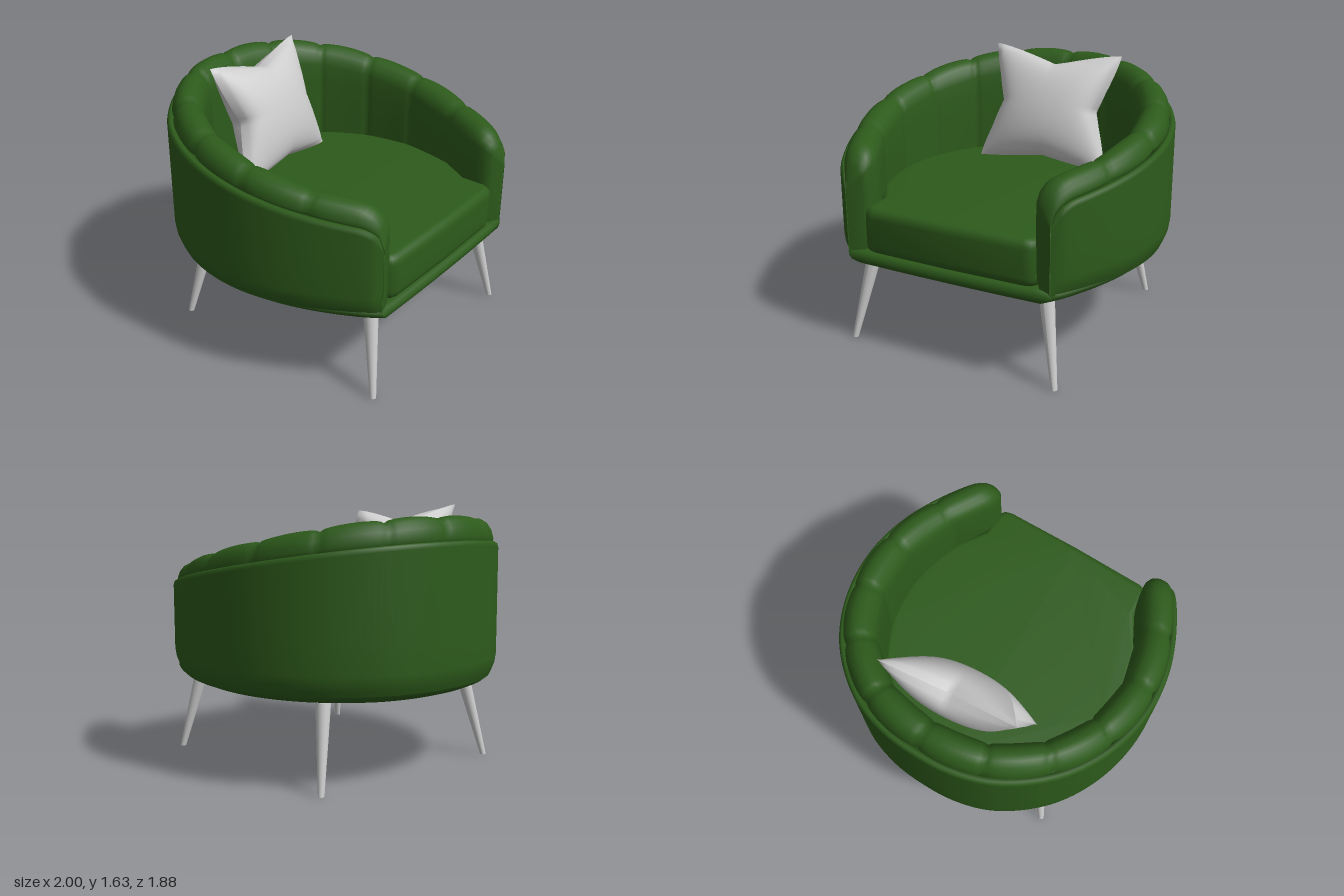
import * as THREE from 'three';
import { toCreasedNormals } from 'three/addons/utils/BufferGeometryUtils.js';

const V = (x, y, z) => new THREE.Vector3(x, y, z);
const CHANNELS = 12;

// Horseshoe plan of the shell, right front -> back -> left front
const half = [[0.7, 0.925], [0.75, 0.86], [0.81, 0.76], [0.9, 0.57], [0.97, 0.35], [1, 0.1], [0.975, -0.15],
  [0.9, -0.38], [0.78, -0.58], [0.62, -0.74], [0.43, -0.86], [0.21, -0.925]];
const plan = new THREE.CatmullRomCurve3([
  ...half.map(([x, z]) => V(-x, 0, z)), V(0, 0, -0.94), ...half.slice().reverse().map(([x, z]) => V(x, 0, z)),
]);
const LENGTH = plan.getLength();

// Surface through rows of points
function loft(rows) {
  const n = rows[0].length, index = [];
  for (let i = 0; i < rows.length - 1; i++) {
    for (let j = 0; j < n - 1; j++) {
      const a = i * n + j, b = a + n;
      index.push(a, a + 1, b, a + 1, b + 1, b);
    }
  }
  const g = new THREE.BufferGeometry().setFromPoints(rows.flat());
  g.setIndex(index);
  g.computeVertexNormals();
  return g;
}

// Place on the plan: point, inward direction, distance to the arm end, rim height
function station(u) {
  const p = plan.getPointAt(u), t = plan.getTangentAt(u);
  const d = Math.min(u, 1 - u) * LENGTH;
  const inward = V(-t.z, 0, t.x);
  inward.z *= Math.min(1, d / 0.5);
  inward.normalize();
  const e = Math.max(0, 1 - d / 0.15);
  const rim = 1.13 + (0.85 - p.z) * 0.17 - 0.12 * (1 - Math.sqrt(1 - e * e));
  return { d, rim, p, at: (n, y) => p.clone().addScaledVector(inward, n).setY(y) };
}

// Sweep a section function along the plan
function sweep(count, section) {
  const rows = [];
  for (let i = 0; i <= count; i++) rows.push(section(station(i / count), i / count));
  return loft(rows);
}

// Thin outer wall with a rounded rim, closed at the arm ends
function shellGeometry() {
  return sweep(144, ({ d, rim, at }) => {
    const k = Math.min(1, d / 0.03);
    return [[0.035, 0.58], [0.022, 0.61], [0.007, 0.65], [0, 0.7], [0, 0.85], [0, rim - 0.03], [0.006, rim - 0.008],
      [0.02, rim], [0.04, rim - 0.004], [0.05, rim - 0.03], [0.05, 0.6]]
      .map(([n, y]) => at(0.025 + (n - 0.025) * k, y));
  });
}

// Channelled padding that rolls over the rim and down to the seat
function paddingGeometry() {
  const roll = [[0.04, -0.05], [0.03, 0.15], [0.045, 0.55], [0.07, 0.83], [0.105, 0.98], [0.14, 1], [0.175, 0.92],
    [0.205, 0.72], [0.228, 0.42], [0.24, 0.05]];
  return sweep(CHANNELS * 14, ({ d, rim, p, at }, u) => {
    const e = Math.max(0, 1 - d / 0.2), k = Math.sqrt(1 - e * e);
    const c = (u * CHANNELS) % 1;
    const puff = d < LENGTH / CHANNELS / 2 ? 1 : Math.pow(Math.abs(Math.sin(Math.PI * c)), 0.4);
    const shrink = 1 - 0.17 * (1 - puff);
    const height = 0.12 * (1 - 0.2 * p.z) * k * shrink;
    const place = (n, y) => at(0.03 + (0.13 + (n - 0.13) * shrink - 0.03) * k, y);
    return [
      ...roll.map(([n, h]) => place(n, rim + h * height)),
      place(0.245, rim - 0.1), place(0.245, rim - 0.25), place(0.243, 0.75), place(0.235, 0.65), place(0.2, 0.59),
    ];
  });
}

// Shallow bowl under the seat, with a lip along the straight front
function baseGeometry() {
  const outline = plan.getSpacedPoints(96);
  for (let i = 1; i <= 12; i++) {
    const x = 0.7 - 1.4 * i / 12;
    outline.push(V(x, 0, 0.925 + 0.01 * (1 - (x / 0.7) ** 2)));
  }
  // height, scale, scale of the front half in z
  const rings = [[0.61, 0, 0], [0.61, 0.94, 0.97], [0.605, 0.965, 0.995], [0.58, 0.96, 1.008], [0.555, 0.93, 1.008],
    [0.53, 0.87, 0.985], [0.51, 0.76, 0.9], [0.49, 0.5, 0.6], [0.475, 0.22, 0.25], [0.47, 0, 0]];
  return loft(rings.map(([y, s, f]) => outline.map((p) => V(p.x * s, y, p.z * (p.z > 0 ? f : s)))));
}

// Seat cushion filling the inside of the horseshoe
function seatGeometry() {
  const pts = [];
  for (let i = 0; i <= 48; i++) {
    const { p, at } = station(0.08 + 0.84 * i / 48);
    if (p.z < 0.6) { const q = at(0.2, 0); pts.push(new THREE.Vector2(q.x, q.z)); }
  }
  pts.push(...[[0.585, 0.7], [0.58, 0.86], [0.55, 0.905], [0.5, 0.92], [0, 0.928], [-0.5, 0.92], [-0.55, 0.905],
    [-0.58, 0.86], [-0.585, 0.7]].map(([x, z]) => new THREE.Vector2(x, z)));
  const g = new THREE.ExtrudeGeometry(new THREE.Shape(pts), {
    depth: 0.17, bevelThickness: 0.06, bevelSize: 0.05, bevelOffset: -0.05, bevelSegments: 6, curveSegments: 1,
  });
  g.rotateX(Math.PI / 2).translate(0, 0.83, 0);
  return toCreasedNormals(g, 0.8);
}

// One puffed face of the pillow, with pointed corners and pinched edges
function pillowFace() {
  const g = new THREE.PlaneGeometry(2, 2, 32, 32), a = g.attributes.position;
  for (let i = 0; i < a.count; i++) {
    const u = a.getX(i), v = a.getY(i);
    const pinchX = 0.27 * (1 - Math.abs(v)) ** 1.3 * u * u;
    const pinchY = (v > 0 ? 0.27 : 0.14) * (1 - Math.abs(u)) ** 1.3 * v * v;
    const puff = Math.max(0, (1 - u * u) * (1 - v * v)) ** 0.55;
    a.setXYZ(i, 0.44 * u * (1 - pinchX), 0.385 * v * (1 - pinchY), 0.165 * puff);
  }
  g.computeVertexNormals();
  return g;
}

export function createModel() {
  const model = new THREE.Group();
  const green = new THREE.MeshStandardMaterial({ color: 0x2d5a1b, side: THREE.DoubleSide });
  const grey = new THREE.MeshStandardMaterial({ color: 0xcccccc });
  const add = (parent, name, geometry, material) => {
    const mesh = new THREE.Mesh(geometry, material);
    mesh.name = name;
    parent.add(mesh);
    return mesh;
  };

  add(model, 'outerShell', shellGeometry(), green);
  add(model, 'channelledPadding', paddingGeometry(), green);
  add(model, 'base', baseGeometry(), green);
  add(model, 'seatCushion', seatGeometry(), green);

  // Pillow leaning on the backrest
  const pillow = new THREE.Group();
  pillow.name = 'pillow';
  add(pillow, 'pillowFront', pillowFace(), grey);
  add(pillow, 'pillowBack', pillowFace().rotateY(Math.PI), grey);
  pillow.rotation.set(-0.35, 0.1, -0.03, 'YXZ');
  pillow.position.set(0.005, 1.26, -0.45);
  model.add(pillow);

  // Tapered legs splayed outwards, ends kept level
  for (const [name, topZ, footZ] of [['frontLeg', 0.79, 0.89], ['backLeg', -0.49, -0.59]]) {
    for (const side of [1, -1]) {
      const g = new THREE.CylinderGeometry(0.046, 0.019, 0.52, 20);
      const a = g.attributes.position;
      for (let i = 0; i < a.count; i++) {
        const t = a.getY(i) / 0.52 + 0.5;
        a.setX(i, a.getX(i) + side * THREE.MathUtils.lerp(0.69, 0.59, t));
        a.setZ(i, a.getZ(i) + THREE.MathUtils.lerp(footZ, topZ, t));
      }
      g.translate(0, 0.26, 0);
      g.computeVertexNormals();
      add(model, name, g, grey);
    }
  }
  return model;
}
